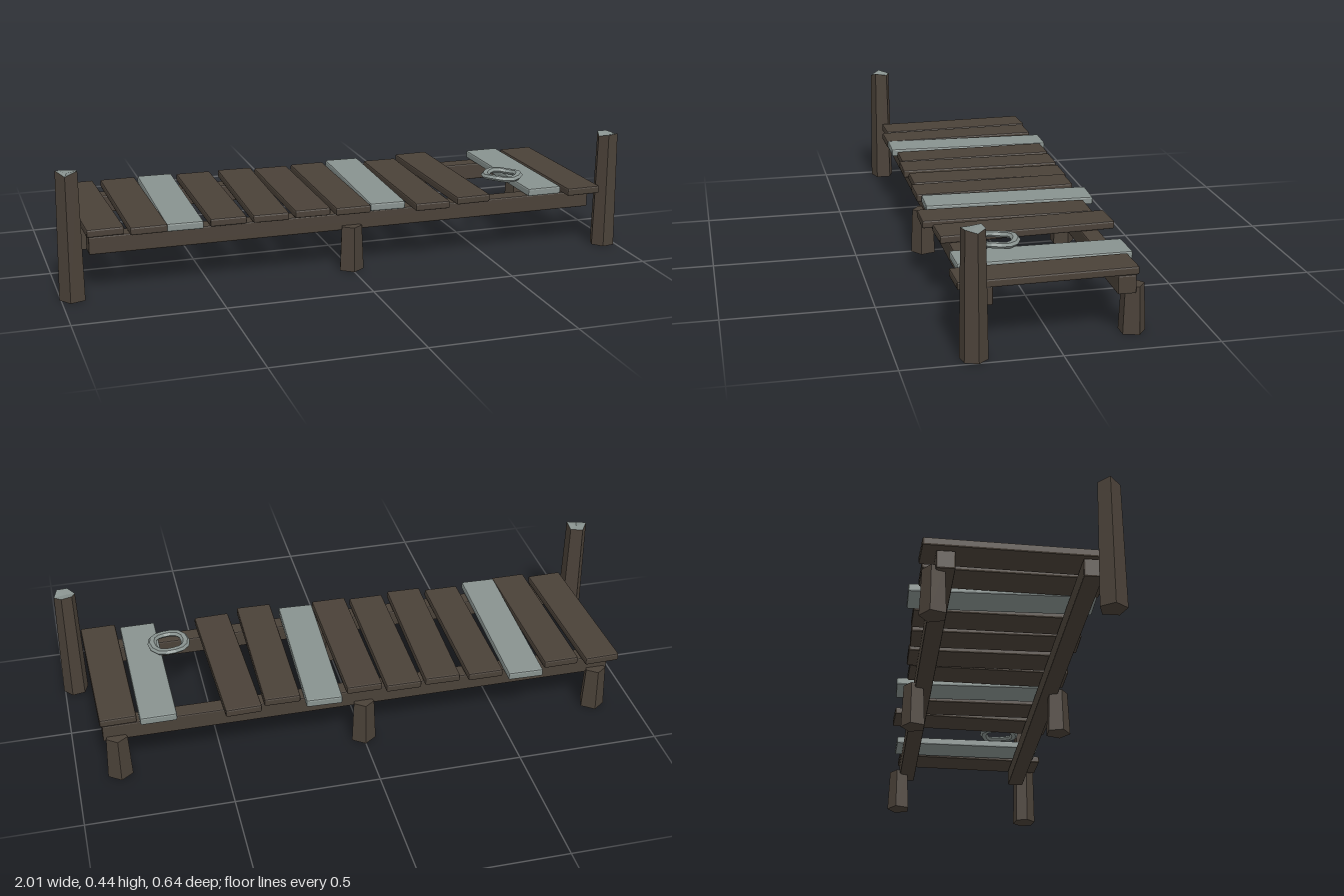
import * as THREE from 'three';
import { RoundedBoxGeometry } from 'three/addons/geometries/RoundedBoxGeometry.js';

// Faceted normals for a hand-hewn look
function flat(geo) {
  const g = geo.index ? geo.toNonIndexed() : geo;
  g.computeVertexNormals();
  return g;
}

export function createModel() {
  const group = new THREE.Group();
  const wood = new THREE.MeshStandardMaterial({ color: 0x4a4138 });
  wood.name = 'darkWood';
  const grey = new THREE.MeshStandardMaterial({ color: 0x88928f });
  grey.name = 'weatheredGrey';

  function add(name, geo, mat, x, y, z) {
    const m = new THREE.Mesh(geo, mat);
    m.name = name;
    m.position.set(x, y, z);
    group.add(m);
    return m;
  }
  const beam = (w, h, d, r) => flat(new RoundedBoxGeometry(w, h, d, 1, r));

  // Deck planks: x, back z, front z, turn, height offset, grey?
  const planks = [
    [-0.853, -0.30, 0.27, 0.028, 0],
    [-0.708, -0.29, 0.29, 0.01, 0.002],
    [-0.577, -0.32, 0.287, -0.024, -0.002, true],
    [-0.432, -0.295, 0.272, -0.004, -0.001],
    [-0.283, -0.29, 0.287, -0.025, 0.002],
    [-0.139, -0.29, 0.275, -0.006, -0.001],
    [0, -0.278, 0.288, 0, 0.002],
    [0.139, -0.313, 0.275, -0.035, -0.001, true],
    [0.283, -0.27, 0.315, -0.012, -0.003],
    [0.434, -0.305, 0.287, 0.028, 0],
    [0.713, -0.28, 0.283, 0.008, 0.001, true],
    [0.85, -0.26, 0.31, 0.02, -0.001],
  ];
  planks.forEach(([x, z0, z1, turn, dy, isGrey], i) => {
    const p = add('plank' + (i + 1), beam(0.125, 0.028, z1 - z0, 0.006),
      isGrey ? grey : wood, x, 0.218 + dy, (z0 + z1) / 2);
    p.rotation.y = turn;
    p.rotation.x = 0.006 * Math.sin(i * 2.3);
  });

  // Long beams under the deck
  for (const s of [-1, 1]) {
    add(s > 0 ? 'frontBeam' : 'backBeam', beam(1.8, 0.062, 0.06, 0.005), wood, 0, 0.171, s * 0.225);
  }

  // Tapered, rough-cut stake; the cut top can have its own colour
  function stake(name, x, z, height, sides, start, topMat, rough) {
    const geo = new THREE.CylinderGeometry(0.038, 0.045, height, sides, 1, false, start);
    const p = geo.attributes.position;
    for (let i = 0; i < p.count; i++) {
      if (p.getY(i) < 0) continue;
      const a = Math.atan2(p.getX(i), p.getZ(i));
      const rim = Math.hypot(p.getX(i), p.getZ(i)) > 0.01;
      p.setY(i, p.getY(i) + (rim ? rough * Math.sin(a * 2 + x) : -rough * 0.5));
    }
    add(name, flat(geo), [wood, topMat, wood], x, height / 2, z);
  }

  // Tall mooring posts at the front corners
  const deg = Math.PI / 180;
  stake('rightPost', -0.96, 0.268, 0.433, 5, -90 * deg, grey, 0.008);
  stake('leftPost', 0.96, 0.268, 0.411, 6, 100 * deg, grey, 0.006);

  // Short legs
  for (const x of [-0.855, 0, 0.855]) stake('backLeg', x, -0.256, 0.157, 5, Math.PI, wood, 0);
  stake('frontMiddleLeg', 0, 0.256, 0.157, 5, 0, wood, 0);

  // Coiled ring lying over the gap, slightly wavy
  const ring = new THREE.TorusGeometry(0.06, 0.0155, 6, 14);
  ring.rotateX(Math.PI / 2);
  const rp = ring.attributes.position;
  for (let i = 0; i < rp.count; i++) {
    const a = Math.atan2(rp.getZ(i), rp.getX(i));
    rp.setY(i, rp.getY(i) * 0.65 + 0.003 * Math.sin(a * 3 + 0.5));
  }
  add('ring', flat(ring), grey, 0.62, 0.247, 0.123);

  return group;
}
